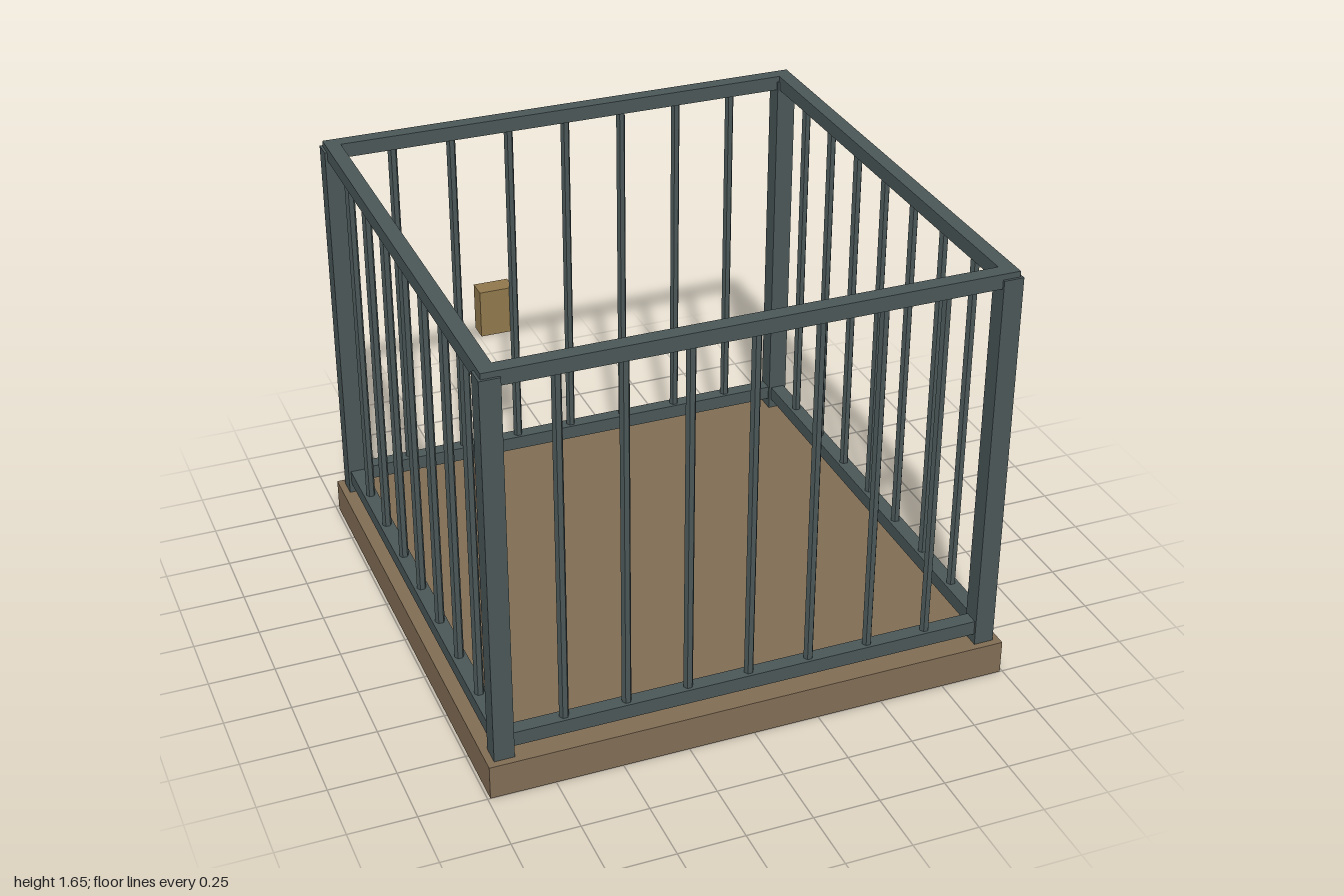
import * as THREE from 'three';

export function createModel() {
  const model = new THREE.Group();
  model.name = 'barredPen';
  const steel = new THREE.MeshStandardMaterial({ color: 0x4a5657, flatShading: true });
  const wood = new THREE.MeshStandardMaterial({ color: 0x806c54 });
  const brass = new THREE.MeshStandardMaterial({ color: 0x8f774b });

  const add = (parent, name, geometry, material, x, y, z) => {
    const mesh = new THREE.Mesh(geometry, material);
    mesh.name = name;
    mesh.position.set(x, y, z);
    parent.add(mesh);
    return mesh;
  };
  const box = (w, h, d) => new THREE.BoxGeometry(w, h, d);

  // Wooden floor slab
  add(model, 'floor', box(1.98, 0.132, 1.98), wood, 0, 0.066, 0.01);

  // Steel cage, centred on the slab
  const cage = new THREE.Group();
  cage.name = 'cage';
  cage.position.z = 0.01;
  model.add(cage);
  const R = 0.926; // distance from centre to each wall
  const railSize = 0.056;
  const bottom = 0.2, top = 1.622;

  // Corner posts
  for (const sx of [-1, 1])
    for (const sz of [-1, 1])
      add(cage, 'cornerPost', box(0.075, 1.496, 0.075), steel, sx * R, 0.88, sz * R);

  // Walls: two rails and seven six-sided bars each
  const barGeometry = new THREE.CylinderGeometry(0.018, 0.018, top - bottom, 6);
  barGeometry.rotateY(Math.PI / 6);
  const count = 7, spacing = (2 * R) / (count + 1);
  const walls = [['front', 1, false], ['back', -1, false], ['left', 1, true], ['right', -1, true]];
  for (const [side, sign, alongZ] of walls) {
    const wall = new THREE.Group();
    wall.name = side + 'Wall';
    cage.add(wall);
    const place = (name, geometry, along, y) =>
      add(wall, name, geometry, steel, alongZ ? sign * R : along, y, alongZ ? along : sign * R);
    const rail = (length) => (alongZ ? box(railSize, railSize, length) : box(length, railSize, railSize));
    place('topRail', rail(1.908), 0, top);
    place('bottomRail', rail(2 * R), 0, bottom);
    for (let i = 0; i < count; i++)
      place('bar', barGeometry, (i - (count - 1) / 2) * spacing, (top + bottom) / 2);
  }

  // Lock box fixed to the back wall
  add(model, 'lockBox', box(0.14, 0.196, 0.08), brass, -0.3, 0.808, -0.96);

  return model;
}
